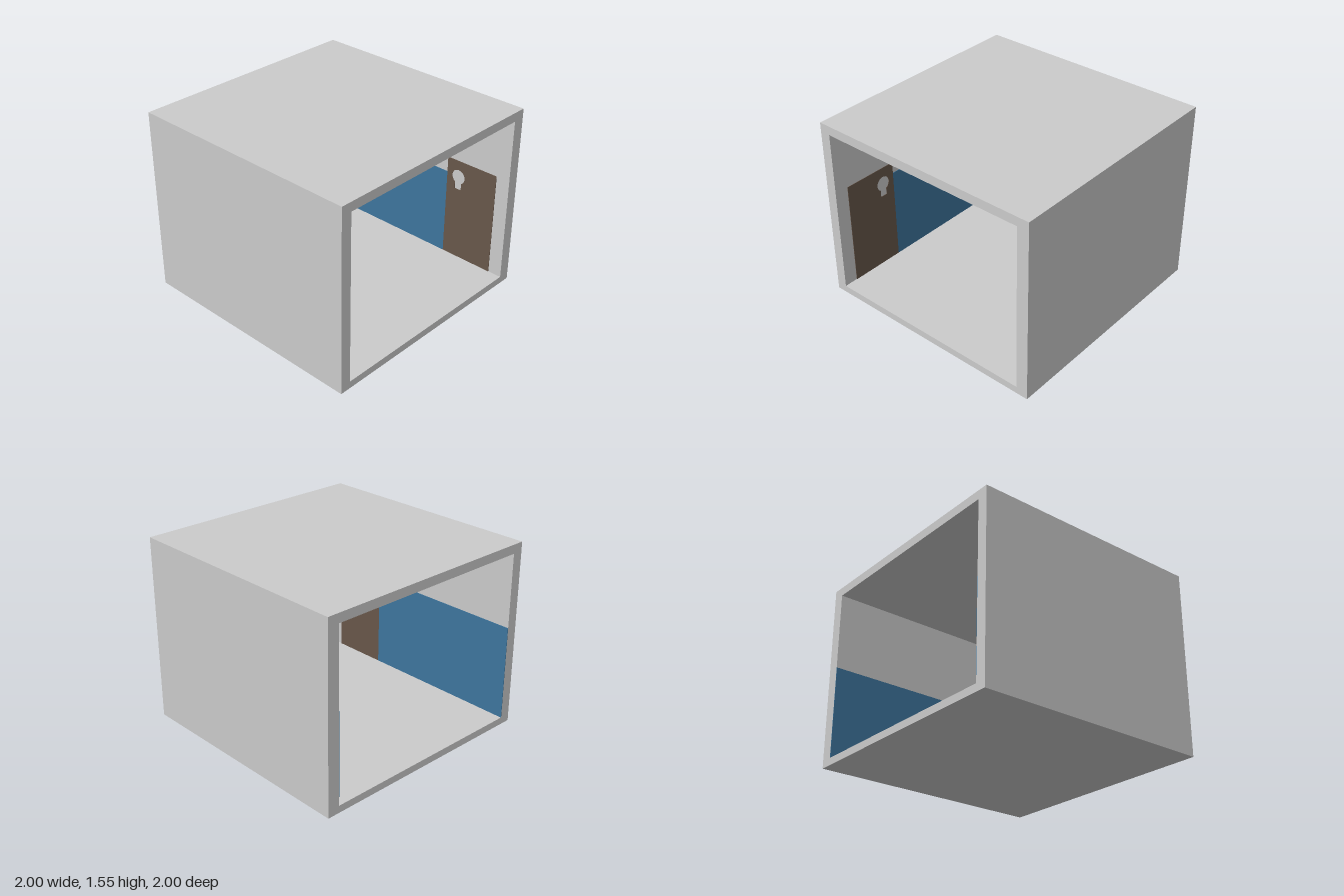
import * as THREE from 'three';

const wallGray = new THREE.MeshStandardMaterial({ color: 0xcbcbcb });
const panelBlue = new THREE.MeshStandardMaterial({ color: 0x3e759d });
const doorBrown = new THREE.MeshStandardMaterial({ color: 0x68574a });
wallGray.name = 'wallGray';
panelBlue.name = 'panelBlue';
doorBrown.name = 'doorBrown';

const LEFT = 0.9, RIGHT = -0.91, FLOOR = 0.06, CEILING = 1.48, HEIGHT = 1.555;
const PLATE = 0.004;

function rectangle(x0, y0, x1, y1, Kind = THREE.Shape) {
  const s = new Kind();
  s.moveTo(x0, y0);
  s.lineTo(x1, y0);
  s.lineTo(x1, y1);
  s.lineTo(x0, y1);
  s.closePath();
  return s;
}

// Thin plate drawn in (z, y) and laid on the inside of a side wall
function wallPlate(name, shape, material, wallX) {
  const geometry = new THREE.ExtrudeGeometry(shape, { depth: PLATE, bevelEnabled: false });
  geometry.rotateY(-Math.PI / 2);
  const mesh = new THREE.Mesh(geometry, material);
  mesh.position.x = wallX > 0 ? wallX : wallX + PLATE;
  mesh.name = name;
  return mesh;
}

// Door panel with a keyhole-shaped opening
function doorShape() {
  const door = rectangle(0.4, FLOOR, 0.88, 0.96);
  const cz = 0.513, cy = 0.815, r = 0.063;
  const hole = new THREE.Path();
  hole.absarc(cz, cy, r, -Math.PI / 3, (4 * Math.PI) / 3, false);
  hole.lineTo(cz - r / 2, 0.7);
  hole.lineTo(cz + r / 2, 0.7);
  hole.closePath();
  door.holes.push(hole);
  return door;
}

export function createModel() {
  const model = new THREE.Group();
  model.name = 'corridorSection';

  // Square tube, open at front and back
  const frame = rectangle(-1, 0, 1, HEIGHT);
  frame.holes.push(rectangle(RIGHT, FLOOR, LEFT, CEILING, THREE.Path));
  const shell = new THREE.Mesh(
    new THREE.ExtrudeGeometry(frame, { depth: 2, bevelEnabled: false }).translate(0, 0, -1),
    wallGray
  );
  shell.name = 'shell';
  model.add(shell);

  // Painted door and lower wall panel on each side
  for (const [side, x, top] of [['left', LEFT, 0.825], ['right', RIGHT, 0.86]]) {
    model.add(wallPlate(side + 'WallPanel', rectangle(-1, FLOOR, 0.4, top), panelBlue, x));
    model.add(wallPlate(side + 'Door', doorShape(), doorBrown, x));
  }
  return model;
}
